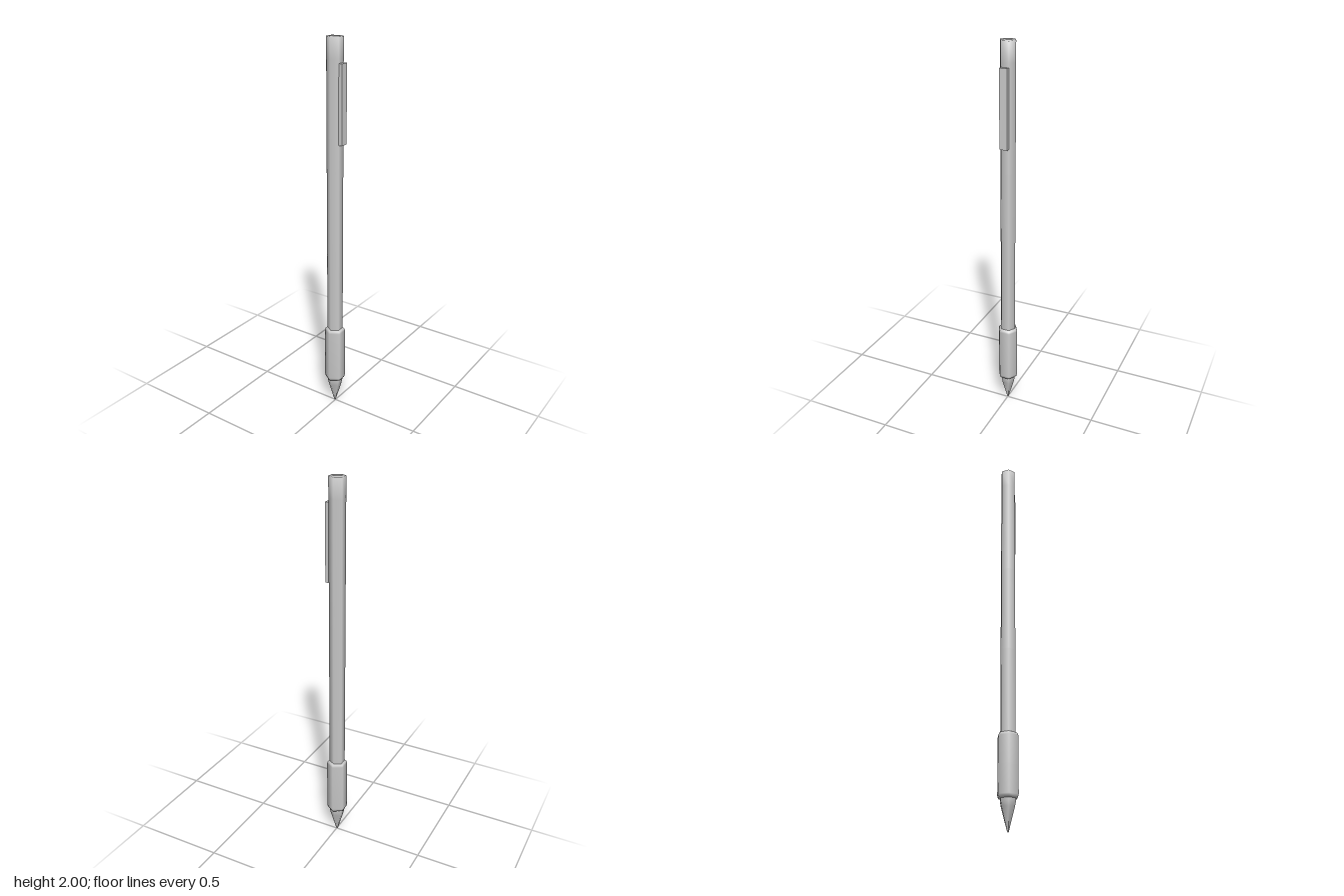
import * as THREE from 'three';

const material = new THREE.MeshStandardMaterial({ color: 0xcccccc });
const AXIS_X = -0.003; // the barrel sits slightly off centre to balance the clip

// Smooth-shaded hexagonal solid from [radius, y] pairs, corners on +z and -z
function hexPart(name, profile) {
  const points = profile.map(([r, y]) => new THREE.Vector2(r, y));
  const mesh = new THREE.Mesh(new THREE.LatheGeometry(points, 6), material);
  mesh.name = name;
  mesh.position.x = AXIS_X;
  return mesh;
}

export function createModel() {
  const pen = new THREE.Group();
  pen.name = 'pen';

  // Barrel with a flat top
  pen.add(hexPart('barrel', [
    [0.041, 0.44], [0.041, 0.9], [0.041, 1.36], [0.041, 1.9], [0.041, 2], [0, 2],
  ]));

  // Wider grip with bevelled ends
  pen.add(hexPart('grip', [
    [0.038, 0.152], [0.051, 0.155], [0.055, 0.17],
    [0.055, 0.31], [0.055, 0.45], [0.051, 0.461], [0.04, 0.468],
  ]));

  // Tapered writing tip
  pen.add(hexPart('tip', [
    [0, 0], [0.004, 0.002], [0.036, 0.115], [0.041, 0.14], [0.041, 0.17],
  ]));

  // Pocket clip raised from the left face
  const clip = new THREE.Mesh(new THREE.BoxGeometry(0.021, 0.39, 0.041), material);
  clip.name = 'clip';
  clip.position.set(0.0405, 1.685, 0);
  pen.add(clip);

  return pen;
}
